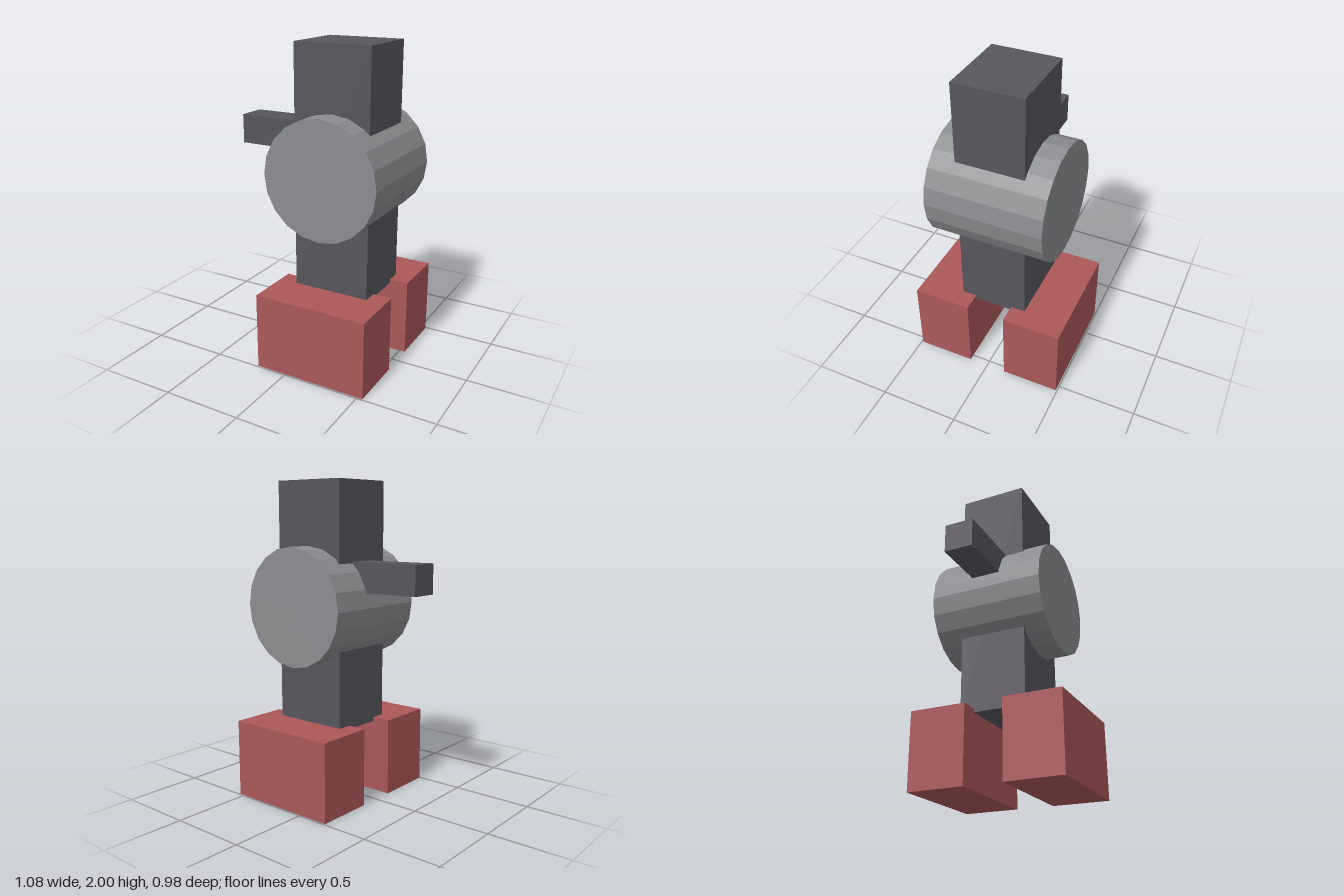
import * as THREE from 'three';

export function createModel() {
  const model = new THREE.Group();
  const material = (name, color) => {
    const m = new THREE.MeshStandardMaterial({ color, flatShading: true });
    m.name = name;
    return m;
  };
  const charcoal = material('charcoal', 0x58565e);
  const grey = material('grey', 0x8c8d90);
  const red = material('red', 0xac585a);

  const add = (name, geometry, mat, x, y, z) => {
    const mesh = new THREE.Mesh(geometry, mat);
    mesh.name = name;
    mesh.position.set(x, y, z);
    model.add(mesh);
    return mesh;
  };
  // Box given by its extents on x and y, and its depth centred on z
  const box = (name, mat, x0, x1, y0, y1, depth, z = 0) =>
    add(name, new THREE.BoxGeometry(x1 - x0, y1 - y0, depth), mat, (x0 + x1) / 2, (y0 + y1) / 2, z);

  // Upright post: neck above the drum and leg below it
  box('post', charcoal, -0.08, 0.415, 0.468, 2, 0.43);

  // Twenty-sided drum lying along z
  const drum = new THREE.CylinderGeometry(0.368, 0.368, 0.736, 20).rotateX(Math.PI / 2);
  add('drum', drum, grey, 0.168, 1.235, 0);

  // Arm reaching out to one side
  box('arm', charcoal, -0.54, 0.1, 1.327, 1.51, 0.184);

  // Pair of feet with a gap between them
  for (const side of [1, -1]) {
    box(side > 0 ? 'frontFoot' : 'backFoot', red, -0.2, 0.536, 0, 0.492, 0.368, side * 0.307);
  }
  return model;
}
